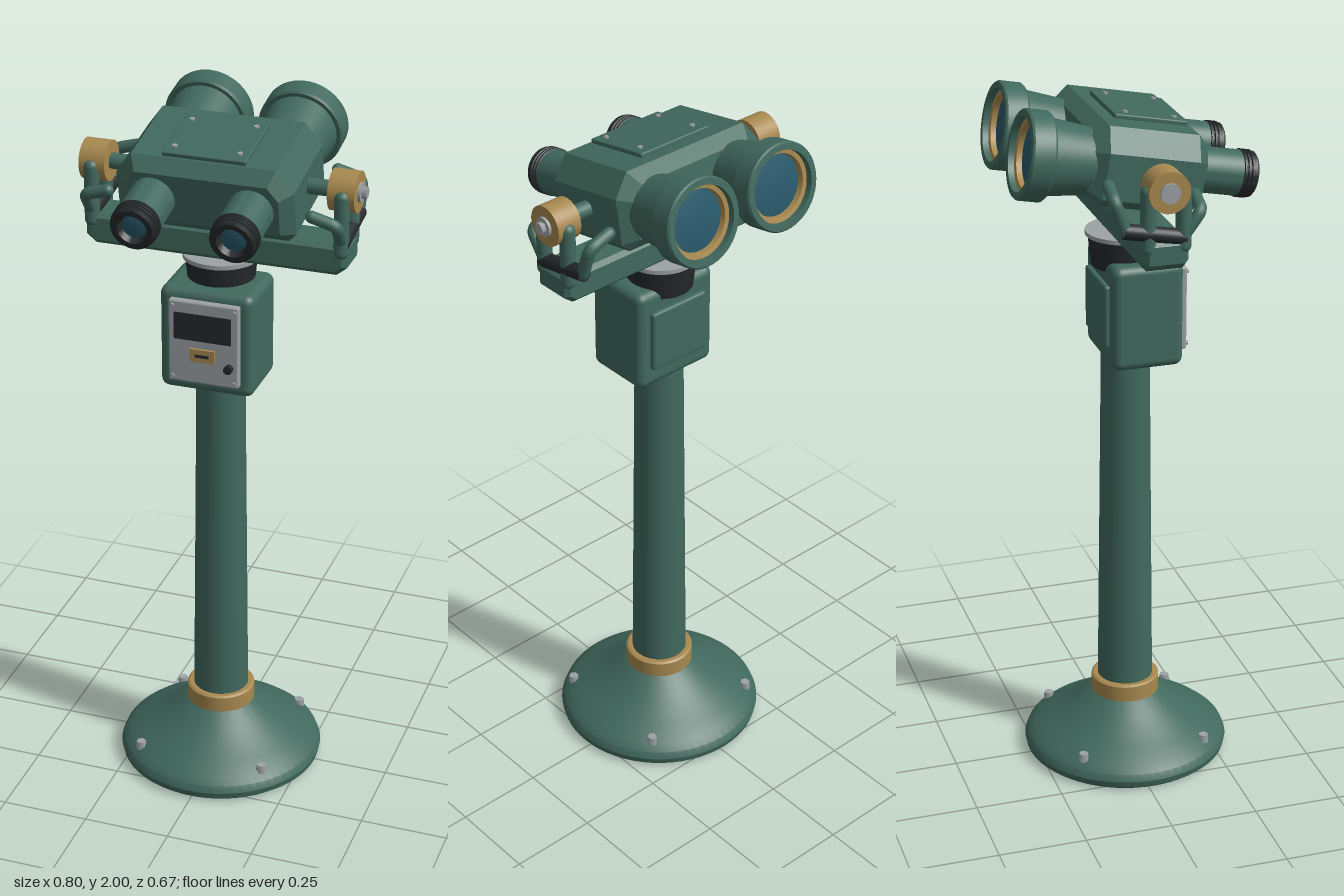
import * as THREE from 'three';
import { toCreasedNormals } from 'three/addons/utils/BufferGeometryUtils.js';
import { RoundedBoxGeometry } from 'three/addons/geometries/RoundedBoxGeometry.js';

const mat = (color) => new THREE.MeshStandardMaterial({ color });
const green = mat(0x41695d), brass = mat(0xa8894f), dark = mat(0x25292a);
const steel = mat(0x9ca1a3), glass = mat(0x29596b);

const V = (x, y, z) => new THREE.Vector3(x, y, z);

function add(parent, name, geometry, material, x = 0, y = 0, z = 0) {
  const m = new THREE.Mesh(geometry, material);
  m.name = name;
  m.position.set(x, y, z);
  parent.add(m);
  return m;
}

// Turned part: profile of [radius, height] pairs around y
function lathe(points, segments = 48) {
  const g = new THREE.LatheGeometry(points.map(([r, h]) => new THREE.Vector2(r, h)), segments);
  return toCreasedNormals(g, 0.5);
}

const cyl = (r0, r1, h, n = 40) => new THREE.CylinderGeometry(r0, r1, h, n);
const cylX = (r, h, n = 40) => cyl(r, r, h, n).rotateZ(Math.PI / 2);
const cylZ = (r, h, n = 40) => cyl(r, r, h, n).rotateX(Math.PI / 2);

// Half outline mirrored in x, extruded along z and chamfered, centred on z
function chamfered(half, length, bevel) {
  const pts = [...half, ...half.slice().reverse().map(([x, y]) => [-x, y])];
  const shape = new THREE.Shape(pts.map(([x, y]) => new THREE.Vector2(x, y)));
  const g = new THREE.ExtrudeGeometry(shape, {
    depth: length - 2 * bevel, bevelEnabled: true, bevelSize: bevel,
    bevelThickness: bevel, bevelOffset: -bevel, bevelSegments: 1,
  });
  return g.translate(0, 0, -length / 2 + bevel);
}

function buildPedestal(root) {
  const base = [[0, 0], [0.28, 0], [0.292, 0.01], [0.296, 0.028], [0.288, 0.048], [0.265, 0.067],
    [0.225, 0.09], [0.18, 0.118], [0.14, 0.147], [0.105, 0.175], [0.09, 0.185], [0, 0.185]];
  add(root, 'base', lathe(base, 64), green);
  for (const sx of [-1, 1]) for (const sz of [-1, 1]) {
    add(root, 'baseBolt', cyl(0.014, 0.016, 0.024, 6), steel, sx * 0.186, 0.075, sz * 0.182);
  }
  add(root, 'baseCollar', lathe([[0.08, 0.18], [0.098, 0.18], [0.098, 0.226], [0.092, 0.23], [0.07, 0.23]]), brass);
  add(root, 'column', cyl(0.068, 0.08, 1.06, 48), green, 0, 0.73, 0);
}

function buildCoinBox(root) {
  const box = new THREE.Group();
  box.name = 'coinBox';
  box.position.set(0, 1.385, 0.027);
  root.add(box);
  add(box, 'boxBody', new RoundedBoxGeometry(0.267, 0.3, 0.202, 4, 0.025), green);
  add(box, 'backPanel', new RoundedBoxGeometry(0.19, 0.18, 0.03, 2, 0.008), green, 0, 0, -0.1);
  // Front plate with display, slot and button
  add(box, 'frontPlate', new RoundedBoxGeometry(0.2, 0.24, 0.03, 2, 0.006), steel, 0, 0.005, 0.104);
  add(box, 'displayWindow', new THREE.BoxGeometry(0.162, 0.078, 0.006), dark, -0.002, 0.052, 0.119);
  add(box, 'slotPlate', new THREE.BoxGeometry(0.07, 0.037, 0.012), brass, -0.002, -0.028, 0.121);
  add(box, 'coinSlot', new THREE.BoxGeometry(0.04, 0.008, 0.004), dark, -0.002, -0.028, 0.127);
  add(box, 'button', cylZ(0.012, 0.024, 20), dark, 0.074, -0.055, 0.123);
  for (const x of [-0.088, 0.088]) for (const y of [-0.1, 0.11]) {
    add(box, 'plateScrew', cylZ(0.006, 0.008, 12), steel, x, y, 0.121);
  }
}

function buildYoke(root) {
  add(root, 'swivelNeck', cyl(0.099, 0.09, 0.088, 48), dark, 0, 1.549, -0.005);
  add(root, 'swivelDisc', cyl(0.106, 0.106, 0.012, 48), steel, 0, 1.597, -0.005);
  const half = [[0.34, 1.603], [0.368, 1.625], [0.368, 1.675], [0.355, 1.69]];
  add(root, 'yokeBar', chamfered(half, 0.122, 0.012), green);
  for (const s of [-1, 1]) {
    // Pair of posts gripping each brass hub
    for (const z of [-0.048, 0.048]) {
      add(root, 'yokePost', new THREE.CapsuleGeometry(0.021, 0.15, 6, 16), green, s * 0.351, 1.745, z);
    }
    add(root, 'pivotHub', cylX(0.056, 0.074), brass, s * 0.348, 1.825, 0);
    add(root, 'pivotAxle', cylX(0.022, 0.09, 24), green, s * 0.275, 1.825, 0);
    add(root, 'pivotWasher', cylX(0.027, 0.008, 24), steel, s * 0.389, 1.825, 0);
  }
  add(root, 'pivotNut', cylX(0.017, 0.018, 6), steel, 0.397, 1.825, 0);
}

function buildHandle(head, s) {
  const handle = new THREE.Group();
  handle.name = s > 0 ? 'leftHandle' : 'rightHandle';
  head.add(handle);
  add(handle, 'handleGrip', cylZ(0.021, 0.17, 24), dark, s * 0.352, -0.122, -0.008);
  for (const [zGrip, zEnd] of [[-0.088, -0.132], [0.07, 0.107]]) {
    const bend = 0.02, path = new THREE.CurvePath();
    const pts = [V(s * 0.352, -0.122, zGrip), V(s * 0.352, -0.045, zEnd), V(s * 0.285, -0.025, zEnd)];
    const toward = (a, b) => a.clone().add(b.clone().sub(a).setLength(bend));
    const a = toward(pts[1], pts[0]), b = toward(pts[1], pts[2]);
    path.add(new THREE.LineCurve3(pts[0], a));
    path.add(new THREE.QuadraticBezierCurve3(a, pts[1], b));
    path.add(new THREE.LineCurve3(b, pts[2]));
    add(handle, 'handleTube', new THREE.TubeGeometry(path, 24, 0.017, 16), green);
    for (const p of [pts[0], pts[2]]) add(handle, 'handleTubeEnd', new THREE.SphereGeometry(0.017, 16, 12), green, p.x, p.y, p.z);
  }
}

function buildBarrels(head, x) {
  // Flared objective barrel pointing backward
  const rear = new THREE.Group();
  rear.name = 'objective';
  rear.position.set(x, -0.004, 0);
  rear.rotation.x = -Math.PI / 2;
  head.add(rear);
  add(rear, 'objectiveBarrel', lathe([[0.081, 0.08], [0.104, 0.27], [0.115, 0.268], [0.12, 0.274],
    [0.12, 0.33], [0.116, 0.335], [0.099, 0.335], [0.097, 0.3]]), green);
  add(rear, 'objectiveRing', lathe([[0.098, 0.318], [0.086, 0.316], [0.083, 0.298]]), brass);
  add(rear, 'objectiveLens', lathe([[0.09, 0.3], [0.06, 0.305], [0, 0.308]]), glass);

  // Eyepiece pointing forward
  const front = new THREE.Group();
  front.name = 'eyepiece';
  front.position.set(x, 0.004, 0);
  front.rotation.x = Math.PI / 2;
  head.add(front);
  add(front, 'eyepieceTube', lathe([[0.062, 0.12], [0.062, 0.272], [0.05, 0.272]]), green);
  const cup = [[0.055, 0.268]];
  for (let i = 0; i < 3; i++) {
    const h = 0.27 + i * 0.011;
    cup.push([0.061, h], [0.065, h + 0.002], [0.065, h + 0.007], [0.061, h + 0.009]);
  }
  cup.push([0.062, 0.31], [0.056, 0.315], [0.042, 0.315], [0.034, 0.296]);
  add(front, 'eyecup', lathe(cup), dark);
  add(front, 'eyepieceLens', lathe([[0.036, 0.297], [0.02, 0.301], [0, 0.303]]), glass);
}

function buildHead(root) {
  const head = new THREE.Group();
  head.name = 'binocularHead';
  head.position.set(0, 1.825, 0);
  head.rotation.x = 0.19;
  root.add(head);
  const half = [[0.225, -0.098], [0.246, -0.075], [0.246, 0.05], [0.2, 0.112]];
  add(head, 'housing', chamfered(half, 0.318, 0.034), green, 0, 0, -0.002);
  // Screwed cover plate on top
  add(head, 'topCover', new RoundedBoxGeometry(0.232, 0.014, 0.206, 2, 0.004), green, 0, 0.117, 0.014);
  for (const x of [-0.09, 0.09]) for (const z of [-0.054, 0.084]) {
    add(head, 'coverScrew', cyl(0.007, 0.007, 0.008, 12), steel, x, 0.125, z);
  }
  for (const s of [-1, 1]) {
    buildBarrels(head, s * 0.136);
    buildHandle(head, s);
  }
}

export function createModel() {
  const model = new THREE.Group();
  model.name = 'viewingBinoculars';
  const root = new THREE.Group();
  root.name = 'stand';
  root.position.set(-0.006, 0, 0.015);
  model.add(root);
  buildPedestal(root);
  buildCoinBox(root);
  buildYoke(root);
  buildHead(root);
  return model;
}
